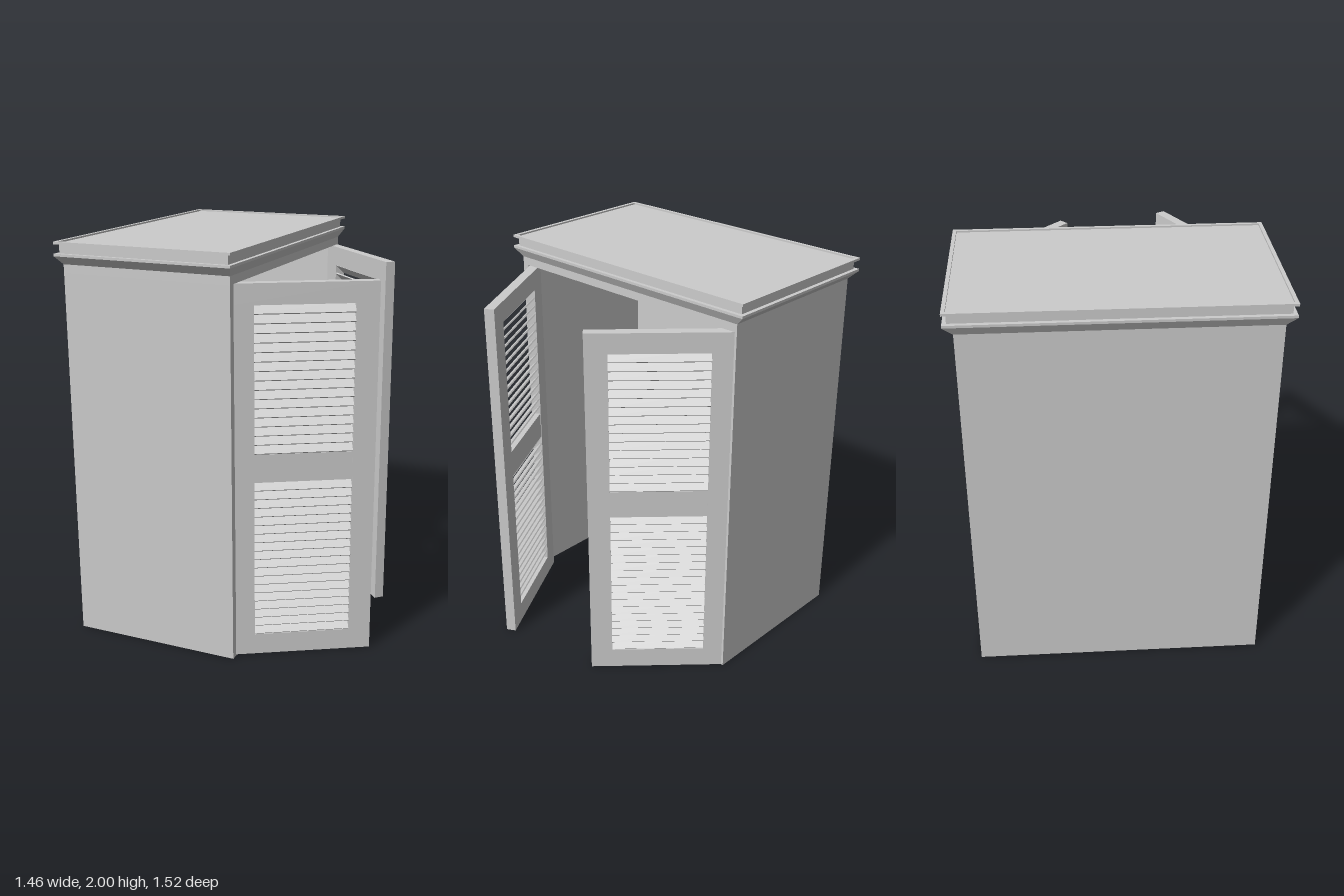
import * as THREE from 'three';

const mat = new THREE.MeshStandardMaterial({ color: 0xcccccc, flatShading: true });

// Box given by its min/max on each axis
function box(parent, name, x0, x1, y0, y1, z0, z1) {
  const m = new THREE.Mesh(new THREE.BoxGeometry(x1 - x0, y1 - y0, z1 - z0), mat);
  m.position.set((x0 + x1) / 2, (y0 + y1) / 2, (z0 + z1) / 2);
  m.name = name;
  parent.add(m);
  return m;
}

// Closed loft through rectangular rings [y, halfX, halfZ]
function rectLoft(rings) {
  const pos = [], idx = [];
  for (const [y, hx, hz] of rings) pos.push(hx, y, hz, hx, y, -hz, -hx, y, -hz, -hx, y, hz);
  for (let r = 0; r < rings.length - 1; r++) {
    for (let i = 0; i < 4; i++) {
      const a = r * 4 + i, b = r * 4 + (i + 1) % 4;
      idx.push(a, b, b + 4, a, b + 4, a + 4);
    }
  }
  const t = (rings.length - 1) * 4;
  idx.push(t, t + 1, t + 2, t, t + 2, t + 3, 0, 2, 1, 0, 3, 2);
  const g = new THREE.BufferGeometry();
  g.setAttribute('position', new THREE.Float32BufferAttribute(pos, 3));
  g.setIndex(idx);
  const flat = g.toNonIndexed();
  flat.computeVertexNormals();
  return flat;
}

// Louvred door: hinge edge at local x = 0, outer face at z = 0, body towards -side
function makeDoor(name, side) {
  const door = new THREE.Group();
  door.name = name;
  const W = 0.685, T = 0.05, stile = 0.108;
  const slab = (n, x0, x1, y0, y1, inset = 0) => {
    const zs = [-side * inset, -side * (T - inset)].sort((a, b) => a - b);
    return box(door, n, x0, x1, y0, y1, zs[0], zs[1]);
  };
  slab('hingeStile', 0, stile, 0.105, 1.75);
  slab('outerStile', W - stile, W, 0.105, 1.75);
  slab('bottomRail', 0, W, 0, 0.105);
  slab('topRail', 0, W, 1.75, 1.85);
  slab('middleRail', stile, W - stile, 0.9, 1.04, 0.003);

  // Slats slope down towards the outside
  const slatGeo = new THREE.BoxGeometry(W - 2 * stile, 0.007, 0.062);
  for (const [y0, y1, n] of [[0.105, 0.9, 18], [1.04, 1.75, 16]]) {
    const step = (y1 - y0) / n;
    for (let i = 0; i < n; i++) {
      const slat = new THREE.Mesh(slatGeo, mat);
      slat.name = 'slat';
      slat.position.set(W / 2, y0 + step * (i + 0.5) + 0.002, -side * T / 2);
      slat.rotation.x = side * 0.76;
      door.add(slat);
    }
  }
  return door;
}

export function createModel() {
  const model = new THREE.Group();
  model.name = 'cabinet';

  // Carcass: three walls, open at the doors and underneath
  const x0 = -0.705, x1 = 0.155, t = 0.035, Z = 0.715, H = 1.85;
  box(model, 'frontWall', x0, x1, 0, H, Z - t, Z);
  box(model, 'rearWall', x0, x1, 0, H, -Z, -Z + t);
  box(model, 'endWall', x0, x0 + t, 0, H, -Z + t, Z - t);

  // Header, sloped moulding, neck and recessed lid in one profile
  const cornice = new THREE.Mesh(rectLoft([
    [1.85, 0.43, 0.715],
    [1.89, 0.43, 0.715],
    [1.932, 0.4525, 0.76],
    [1.944, 0.4525, 0.76],
    [1.944, 0.433, 0.74],
    [1.988, 0.433, 0.74],
    [1.988, 0.4525, 0.76],
    [2.0, 0.4525, 0.76],
    [2.0, 0.435, 0.742],
    [1.992, 0.435, 0.742],
  ]), mat);
  cornice.name = 'cornice';
  cornice.position.x = (x0 + x1) / 2;
  model.add(cornice);

  // Two doors, standing open at different angles
  const doorA = makeDoor('frontDoor', 1);
  doorA.position.set(0.137, 0, 0.677);
  doorA.rotation.y = Math.PI / 6;
  const doorB = makeDoor('rearDoor', -1);
  doorB.position.set(0.146, 0, -0.712);
  doorB.rotation.y = -Math.PI / 4;
  model.add(doorA, doorB);

  return model;
}
